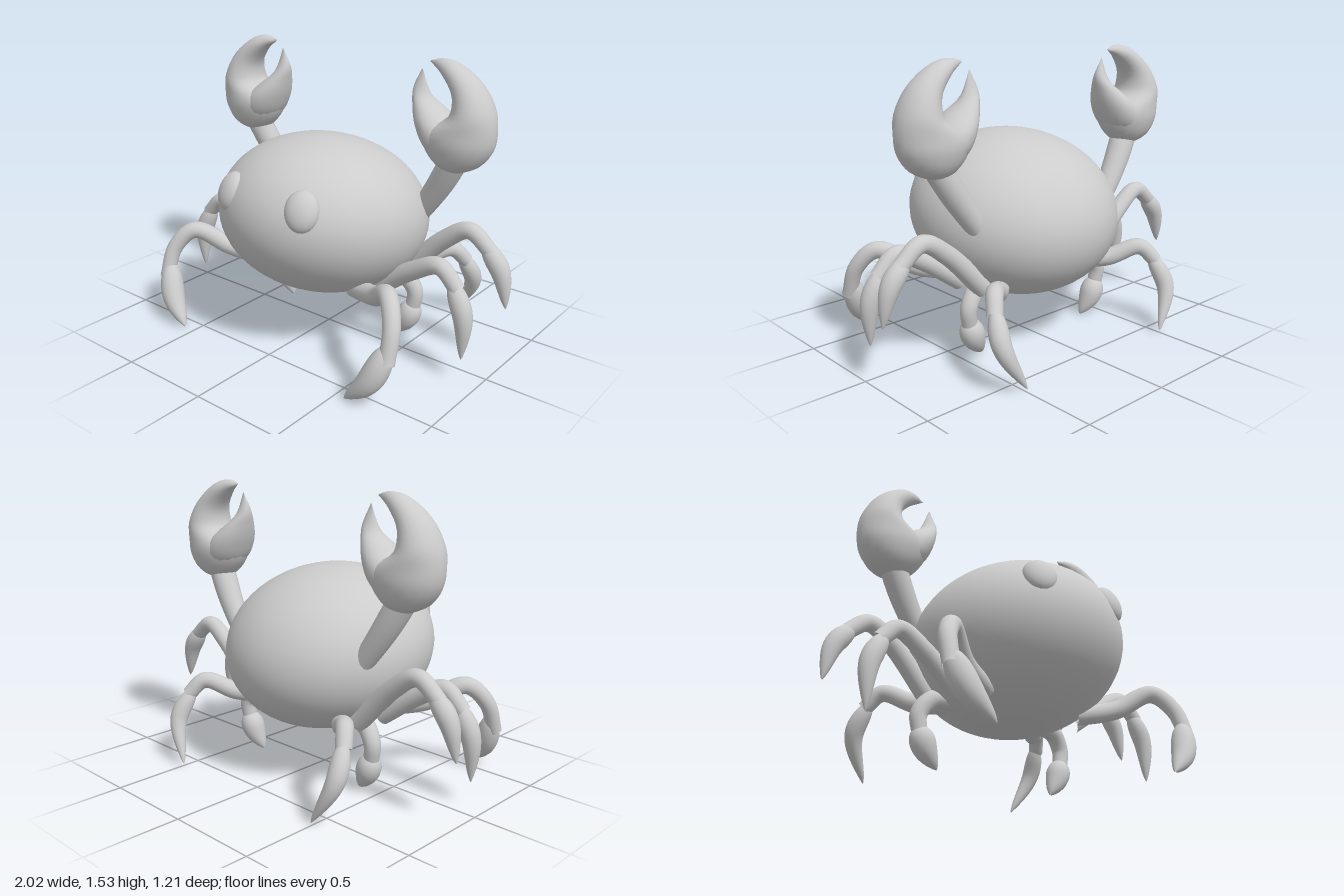
import * as THREE from 'three';

const V = (x, y, z) => new THREE.Vector3(x, y, z);
const material = new THREE.MeshStandardMaterial({ color: 0xcccccc });
const SIDES = 20, STEPS = 32, CLAW_Z = -0.16;

function addMesh(parent, name, geometry) {
  const mesh = new THREE.Mesh(geometry, material);
  mesh.name = name;
  parent.add(mesh);
  return mesh;
}

function addGroup(parent, name) {
  const group = new THREE.Group();
  group.name = name;
  parent.add(group);
  return group;
}

// Swells from a point to full width near the first third, then tapers to a tip
const swell = (t, skew, power) => Math.max(0.01, Math.sin(Math.PI * t ** skew)) ** power;

// Skin over rings; ringAt(t) gives a centre c and half axes u and v
function skin(ringAt) {
  const pos = [], idx = [];
  for (let i = 0; i <= STEPS; i++) {
    const { c, u, v } = ringAt(i / STEPS);
    for (let j = 0; j < SIDES; j++) {
      const a = (j / SIDES) * Math.PI * 2;
      pos.push(...c.clone().addScaledVector(u, Math.cos(a)).addScaledVector(v, Math.sin(a)));
      if (i === 0) continue;
      const k = (j + 1) % SIDES, lo = (i - 1) * SIDES, hi = i * SIDES;
      idx.push(lo + j, lo + k, hi + k, lo + j, hi + k, hi + j);
    }
  }
  const g = new THREE.BufferGeometry();
  g.setAttribute('position', new THREE.Float32BufferAttribute(pos, 3));
  g.setIndex(idx);
  g.computeVertexNormals();
  return g;
}

// Round limb along a path, its radius given by a rule
function limb(path, radiusAt) {
  const [first, mid, last] = [0, 0.5, 1].map(t => path.getPoint(t));
  const ref = mid.clone().sub(first).cross(last.clone().sub(mid)).normalize();
  return skin(t => {
    const dir = path.getTangent(t), r = radiusAt(t);
    const u = ref.clone().addScaledVector(dir, -ref.dot(dir)).normalize();
    const v = dir.clone().cross(u);
    return { c: path.getPoint(t), u: u.multiplyScalar(r), v: v.multiplyScalar(r) };
  });
}

// Claw finger between an outer and an inner outline, given as [x, y] points
function finger(outer, inner, depth, side) {
  const [a, b] = [outer, inner].map(line =>
    new THREE.CatmullRomCurve3(line.map(([x, y]) => V(x * side, y, CLAW_Z))));
  return skin(t => {
    const p = a.getPoint(t), q = b.getPoint(t);
    return {
      c: p.clone().add(q).multiplyScalar(0.5),
      u: p.sub(q).multiplyScalar(0.5),
      v: V(0, 0, -side * depth * swell(t, 0.63, 1.3)),
    };
  });
}

// Walking leg: a bent upper part, then a pointed foot hung on its end
function addLeg(parent, side, name, footRadius, upper, foot) {
  const toPoint = ([x, y, z]) => V(x * side, y, z);
  const leg = addGroup(parent, name);
  const upperPath = new THREE.CatmullRomCurve3(upper.map(toPoint));
  const footPath = new THREE.CatmullRomCurve3([upperPath.getPoint(0.88), ...foot.map(toPoint)]);
  addMesh(leg, 'upperLeg', limb(upperPath, t => 0.053 - 0.013 * t));
  addMesh(leg, 'foot', limb(footPath, t => footRadius * swell(t, 0.7, 0.7)));
}

function addClaw(parent, side) {
  const claw = addGroup(parent, 'claw');
  const armPath = new THREE.CatmullRomCurve3([
    V(.42 * side, .66, -.2), V(.57 * side, .88, -.18), V(.67 * side, 1.05, CLAW_Z)]);
  addMesh(claw, 'clawArm', limb(armPath, t => 0.05 + 0.02 * Math.sin(t * Math.PI * 0.6)));
  addMesh(claw, 'palmAndThumb', finger(
    [[.685, .975], [.8, 1.03], [.86, 1.11], [.876, 1.19], [.86, 1.3], [.79, 1.425], [.66, 1.52], [.57, 1.535], [.505, 1.518]],
    [[.665, .975], [.57, 1.02], [.5, 1.11], [.49, 1.18], [.64, 1.27], [.652, 1.36], [.585, 1.455], [.53, 1.495], [.503, 1.512]],
    0.15, side));
  addMesh(claw, 'innerFinger', finger(
    [[.72, 1.0], [.72, 1.1], [.68, 1.2], [.605, 1.267], [.515, 1.34], [.462, 1.47]],
    [[.62, 1.02], [.51, 1.1], [.455, 1.2], [.427, 1.29], [.415, 1.375], [.456, 1.472]],
    0.135, side));
}

export function createModel() {
  const model = new THREE.Group();
  model.name = 'crab';

  // Shell: an ellipsoid leaning slightly up towards the front
  const shell = new THREE.SphereGeometry(1, 48, 32);
  shell.scale(.56, .428, .565);
  shell.applyMatrix4(new THREE.Matrix4().makeShear(0, 0, 0, 0, 0, .09));
  shell.translate(0, .68, .04);
  addMesh(model, 'shell', shell);

  for (const side of [1, -1]) {
    const half = addGroup(model, side > 0 ? 'leftSide' : 'rightSide');

    // Eye, lying flat on the shell
    const eye = addMesh(half, 'eye', new THREE.SphereGeometry(1, 24, 16));
    eye.scale.set(.088, .105, .06);
    eye.position.set(.235 * side, .86, .495);
    eye.rotation.set(-.4, .42 * side, 0, 'YXZ');

    addClaw(half, side);

    // Walking legs, from front to back
    addLeg(half, side, 'frontLeg', .064,
      [[.3, .36, .16], [.5, .41, .26], [.66, .505, .38], [.74, .41, .46], [.757, .24, .52]],
      [[.68, .14, .545], [.56, .015, .58]]);
    addLeg(half, side, 'secondLeg', .052,
      [[.38, .36, .04], [.6, .51, .065], [.75, .575, .075], [.86, .48, .08]],
      [[.898, .36, .09], [.905, .13, .095]]);
    addLeg(half, side, 'thirdLeg', .052,
      [[.4, .38, -.17], [.63, .61, -.17], [.77, .69, -.17], [.9, .6, -.17]],
      [[.95, .52, -.17], [.997, .33, -.165]]);
    addLeg(half, side, 'innerLeg', .065,
      [[.28, .38, -.11], [.41, .36, -.13], [.472, .28, -.145], [.465, .18, -.14]],
      [[.435, .11, -.135], [.37, .008, -.12]]);
    addLeg(half, side, 'backLeg', .05,
      [[.26, .38, -.14], [.4, .39, -.29], [.53, .45, -.41], [.59, .37, -.48]],
      [[.6, .24, -.545], [.495, .02, -.6]]);
  }
  return model;
}
